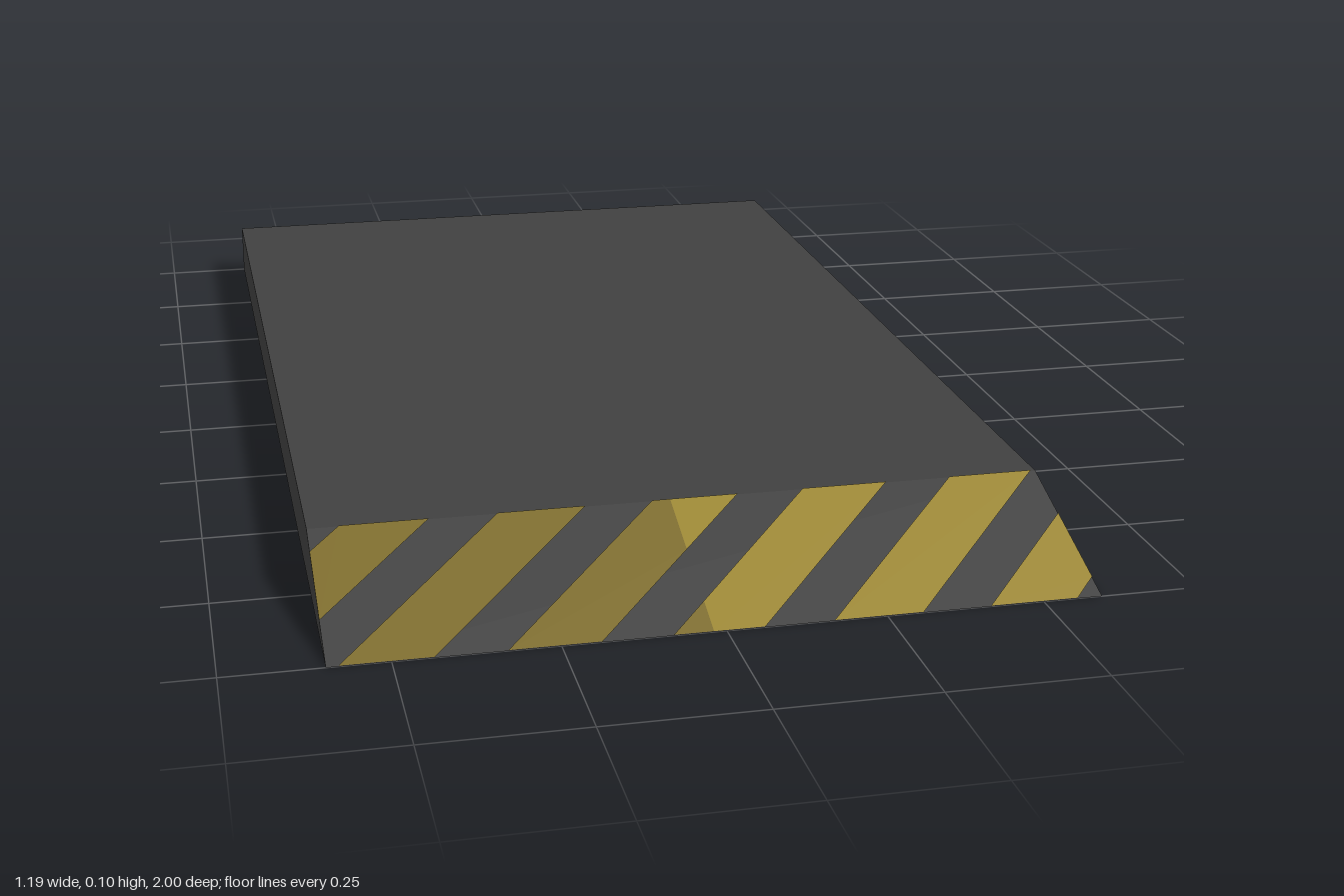
import * as THREE from 'three';

const HALF_W = 0.595, HEIGHT = 0.095, RUN = 0.285;
const SLOPE = Math.hypot(HEIGHT, RUN);

// Cut a polygon of [x, y] points at a vertical line, keeping one side (+1 right, -1 left)
function cut(points, x, side) {
  const out = [];
  points.forEach((p, i) => {
    const q = points[(i + 1) % points.length];
    const a = (p[0] - x) * side, b = (q[0] - x) * side;
    if (a >= 0) out.push(p);
    if (a * b < 0) {
      const t = a / (a - b);
      out.push([x, p[1] + (q[1] - p[1]) * t]);
    }
  });
  return out;
}

export function createModel() {
  const group = new THREE.Group();
  const make = (name, color) => {
    const m = new THREE.MeshStandardMaterial({ color });
    m.name = name;
    return m;
  };
  const grey = make('darkGrey', 0x404040);
  const dull = make('wornYellow', 0x7d6c2b);
  const bright = make('yellow', 0x9c8731);

  // Slab with a wedge-shaped front edge
  const profile = new THREE.Shape([[-1, 0], [1, 0], [1 - RUN, HEIGHT], [-1, HEIGHT]]
    .map(([z, y]) => new THREE.Vector2(z, y)));
  const slabGeo = new THREE.ExtrudeGeometry(profile, { depth: HALF_W * 2, bevelEnabled: false });
  slabGeo.translate(0, 0, -HALF_W).rotateY(-Math.PI / 2);
  const slab = new THREE.Mesh(slabGeo, grey);
  slab.name = 'rampSlab';
  group.add(slab);

  // Diagonal hazard stripes, laid just above the sloping face
  const stripes = new THREE.Group();
  stripes.name = 'hazardStripes';
  stripes.position.set(0, 0.0015, 1.0005);
  stripes.rotation.x = -Math.atan2(RUN, HEIGHT);
  group.add(stripes);

  const PITCH = 0.248, WIDTH = 0.14, LEAN = 0.28, SPLIT = -0.02;
  const zones = [[-HALF_W, SPLIT, dull, 'wornStripe'], [SPLIT, HALF_W, bright, 'stripe']];
  for (let i = 0; i < 6; i++) {
    const x = -0.825 + i * PITCH;
    const band = [[x, 0], [x + WIDTH, 0], [x + WIDTH + LEAN, SLOPE], [x + LEAN, SLOPE]];
    for (const [min, max, material, name] of zones) {
      const pts = cut(cut(band, min, 1), max, -1);
      if (pts.length < 3) continue;
      const shape = new THREE.Shape(pts.map(([px, py]) => new THREE.Vector2(px, py)));
      const stripe = new THREE.Mesh(new THREE.ShapeGeometry(shape), material);
      stripe.name = name;
      stripes.add(stripe);
    }
  }
  return group;
}
